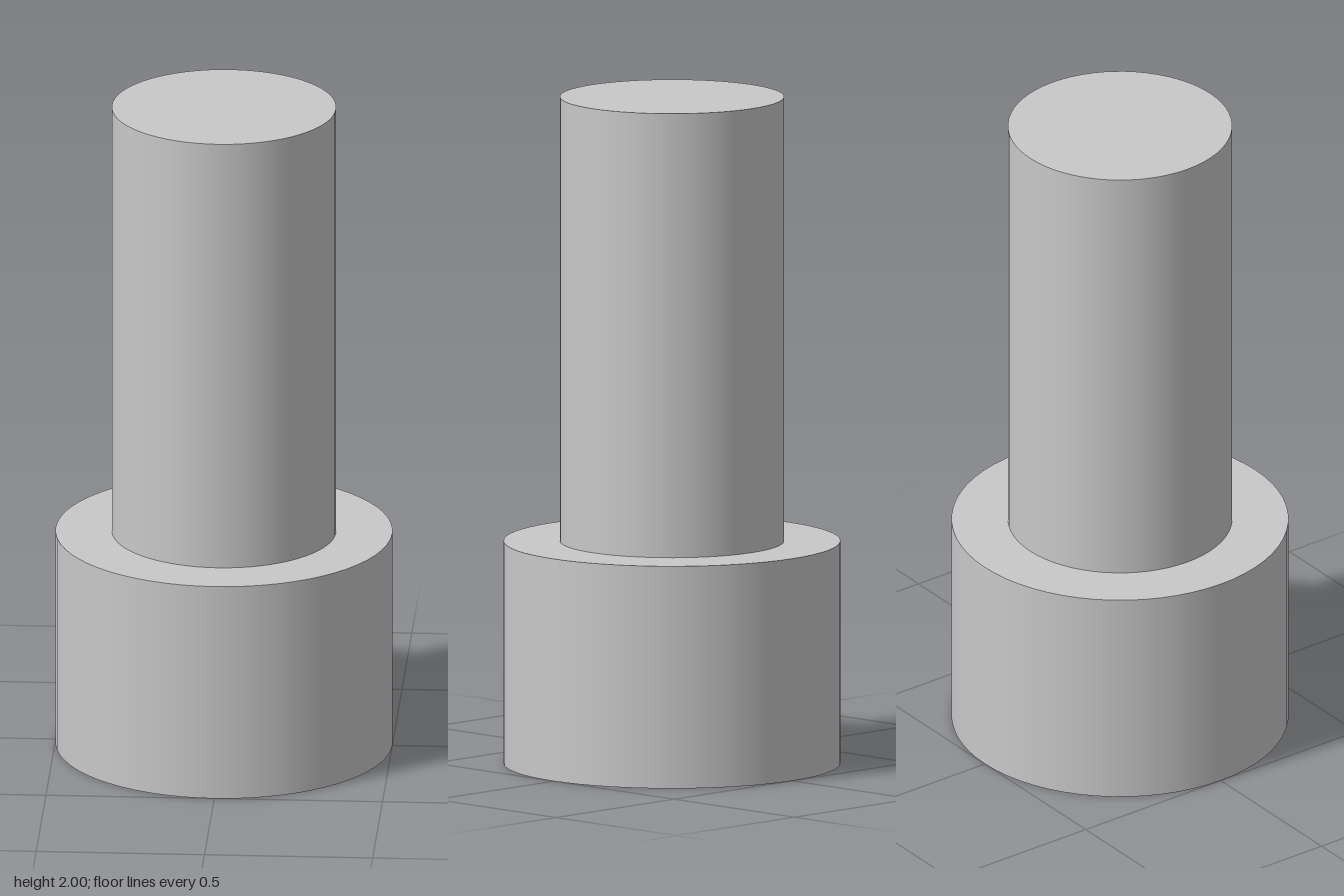
import * as THREE from 'three';

const SEGMENTS = 64;
const HEAD_RADIUS = 0.5, HEAD_HEIGHT = 0.667;
const SHAFT_RADIUS = 0.333, TOTAL_HEIGHT = 2;
const SOCKET_RADIUS = 0.324, SOCKET_DEPTH = 0.4;
const SOCKET_TURN = THREE.MathUtils.degToRad(35);

// Corners of a regular polygon
function ring(radius, sides, turn = 0) {
  return Array.from({ length: sides }, (_, i) => {
    const a = turn + (i / sides) * Math.PI * 2;
    return new THREE.Vector2(Math.cos(a) * radius, Math.sin(a) * radius);
  });
}

// Turn a tube inside out and give it flat facets
function insideOut(geometry) {
  const index = geometry.index.array;
  for (let i = 0; i < index.length; i += 3) {
    [index[i], index[i + 1]] = [index[i + 1], index[i]];
  }
  const flat = geometry.toNonIndexed();
  flat.computeVertexNormals();
  return flat;
}

export function createModel() {
  const model = new THREE.Group();
  model.name = 'socketHeadBolt';
  const steel = new THREE.MeshStandardMaterial({ color: 0xc8c8c8 });
  steel.name = 'steel grey';

  const add = (name, geometry, y = 0) => {
    const mesh = new THREE.Mesh(geometry, steel);
    mesh.name = name;
    mesh.position.y = y;
    model.add(mesh);
  };

  // Shaft: side wall and flat end
  const shaftLength = TOTAL_HEIGHT - HEAD_HEIGHT;
  add('shaftSide', new THREE.CylinderGeometry(SHAFT_RADIUS, SHAFT_RADIUS, shaftLength, SEGMENTS, 1, true),
    HEAD_HEIGHT + shaftLength / 2);
  add('shaftEnd', new THREE.CircleGeometry(SHAFT_RADIUS, SEGMENTS).rotateX(-Math.PI / 2), TOTAL_HEIGHT);

  // Head: side wall, shoulder and underside with a hexagonal opening
  add('headSide', new THREE.CylinderGeometry(HEAD_RADIUS, HEAD_RADIUS, HEAD_HEIGHT, SEGMENTS, 1, true),
    HEAD_HEIGHT / 2);
  add('headShoulder', new THREE.RingGeometry(SHAFT_RADIUS, HEAD_RADIUS, SEGMENTS).rotateX(-Math.PI / 2), HEAD_HEIGHT);
  const face = new THREE.Shape(ring(HEAD_RADIUS, SEGMENTS));
  face.holes.push(new THREE.Path(ring(SOCKET_RADIUS, 6, SOCKET_TURN)));
  add('headFace', new THREE.ShapeGeometry(face).rotateX(Math.PI / 2));

  // Hex socket: six walls and a flat floor
  add('socketWalls', insideOut(new THREE.CylinderGeometry(SOCKET_RADIUS, SOCKET_RADIUS, SOCKET_DEPTH, 6, 1, true,
    Math.PI / 2 - SOCKET_TURN)), SOCKET_DEPTH / 2);
  add('socketFloor', new THREE.CircleGeometry(SOCKET_RADIUS, 6, SOCKET_TURN).rotateX(Math.PI / 2), SOCKET_DEPTH);

  return model;
}
